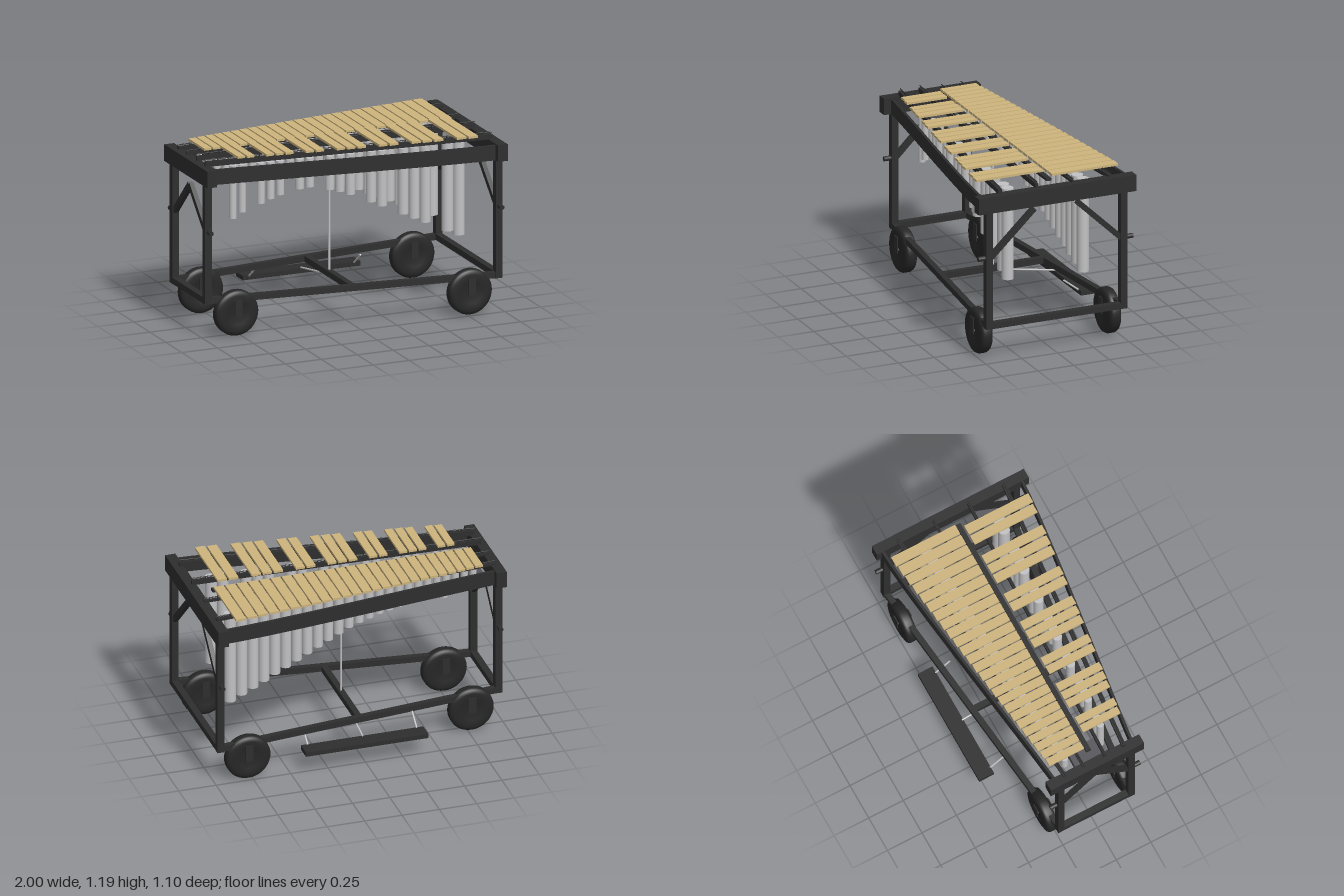
import * as THREE from 'three';

const material = (name, color) => {
  const m = new THREE.MeshStandardMaterial({ color });
  m.name = name;
  return m;
};
const lerp = THREE.MathUtils.lerp;

// piecewise linear lookup through [x, y] pairs
function sample(table, x) {
  for (let i = 1; i < table.length; i++) {
    const [x0, y0] = table[i - 1], [x1, y1] = table[i];
    if (x <= x1 || i === table.length - 1) return lerp(y0, y1, THREE.MathUtils.clamp((x - x0) / (x1 - x0), 0, 1));
  }
}

export function createModel() {
  const model = new THREE.Group();
  model.name = 'malletInstrument';
  const black = material('black frame', 0x2e2e2e);
  const tyre = material('dark rubber', 0x262626);
  const gold = material('gold bars', 0xcdb47c);
  const silver = material('silver metal', 0xc2c2c4);
  const grey = material('grey housing', 0x55555a);

  const add = (name, geometry, mat, x = 0, y = 0, z = 0, parent = model) => {
    const mesh = new THREE.Mesh(geometry, mat);
    mesh.name = name;
    mesh.position.set(x, y, z);
    parent.add(mesh);
    return mesh;
  };
  const box = (name, mat, x0, x1, y0, y1, z0, z1) =>
    add(name, new THREE.BoxGeometry(x1 - x0, y1 - y0, z1 - z0), mat, (x0 + x1) / 2, (y0 + y1) / 2, (z0 + z1) / 2);

  // straight beam or rod between two points
  const between = (name, geometry, mat, a, b) => {
    const p = new THREE.Vector3(...a), q = new THREE.Vector3(...b);
    const mesh = add(name, geometry(p.distanceTo(q)), mat);
    mesh.position.copy(p).lerp(q, 0.5);
    mesh.lookAt(q);
    return mesh;
  };
  const beam = (name, a, b, w, h, mat = black) => between(name, l => new THREE.BoxGeometry(w, h, l), mat, a, b);
  const rod = (name, a, b, r, mat = silver) =>
    between(name, l => new THREE.CylinderGeometry(r, r, l, 12).rotateX(Math.PI / 2), mat, a, b);

  // end frames: top beam, legs, foot beam, braces and pegs
  const ends = [
    { x: 0.965, half: 0.55, leg: 0.47, brace: [0.455, 0.705, 0.15, 0.995] },
    { x: -0.965, half: 0.338, leg: 0.255, brace: [0.24, 0.71, 0, 0.95] },
  ];
  for (const { x, half, leg, brace } of ends) {
    box('endBeam', black, x - 0.034, x + 0.034, 1.015, 1.125, -half, half);
    box('footBeam', black, x - 0.022, x + 0.022, 0.225, 0.265, -leg, leg);
    for (const s of [-1, 1]) {
      box('leg', black, x - 0.023, x + 0.023, 0.225, 1.02, s * leg - 0.023, s * leg + 0.023);
      const [z0, y0, z1, y1] = brace;
      beam('brace', [x, y0, s * z0], [x, y1, s * z1], 0.03, 0.036);
      rod('peg', [x, 0.705, s * leg], [x, 0.705, s * (leg + 0.07)], 0.016, black);
    }
  }
  box('motorHousing', grey, -0.915, -0.78, 0.957, 1.02, -0.106, 0.106);

  // bowed upper side rails
  const railLine = [[-0.96, 0.285], [-0.75, 0.31], [-0.4, 0.356], [0, 0.41], [0.4, 0.461], [0.65, 0.49], [0.85, 0.508], [0.96, 0.514]];
  for (const s of [-1, 1]) {
    const outline = [
      ...railLine.map(([x, z]) => new THREE.Vector2(x, s * z)),
      ...railLine.map(([x, z]) => new THREE.Vector2(x, s * (z - 0.018))).reverse(),
    ];
    const geo = new THREE.ExtrudeGeometry(new THREE.Shape(outline), { depth: 0.1, bevelEnabled: false });
    add('sideRail', geo.rotateX(Math.PI / 2), black, 0, 1.116, 0);
  }

  // lower rails and wheels beneath them
  const wheelProfile = [[0, -0.032], [0.065, -0.032], [0.072, -0.04], [0.12, -0.04], [0.142, -0.033], [0.15, -0.018],
    [0.15, 0.018], [0.142, 0.033], [0.12, 0.04], [0.072, 0.04], [0.065, 0.032], [0, 0.032]];
  const wheelGeo = new THREE.LatheGeometry(wheelProfile.map(p => new THREE.Vector2(...p)), 40).rotateX(Math.PI / 2);
  for (const s of [-1, 1]) {
    beam('lowerRail', [-0.965, 0.245, s * 0.255], [0.965, 0.245, s * 0.47], 0.038, 0.04);
    for (const [x, z] of [[-0.775, 0.276], [0.775, 0.449]]) {
      const caster = new THREE.Group();
      caster.name = 'caster';
      caster.position.set(x, 0.15, s * z);
      model.add(caster);
      add('wheel', wheelGeo, tyre, 0, 0, 0, caster);
      add('axle', new THREE.CylinderGeometry(0.012, 0.012, 0.1, 12).rotateX(Math.PI / 2), black, 0, 0, 0, caster);
      for (const t of [-1, 1]) add('forkPlate', new THREE.BoxGeometry(0.05, 0.11, 0.007), black, 0, 0.04, t * 0.049, caster);
    }
  }
  box('crossBeam', black, -0.02, 0.02, 0.225, 0.265, -0.36, 0.36);

  // pedal and its linkage
  box('pedal', black, -0.41, 0.41, 0.125, 0.155, -0.537, -0.43);
  rod('damperRod', [0, 0.25, 0], [0, 1.13, 0], 0.007);
  rod('pedalLink', [0, 0.222, -0.07], [0, 0.16, -0.44], 0.006);
  for (const x of [-0.365, 0.365]) rod('pedalArm', [x, 0.23, -0.33], [x, 0.145, -0.44], 0.006);
  box('damperBar', black, -0.88, 0.865, 1.122, 1.14, -0.017, 0.017);
  box('damperPivot', black, -0.018, 0.018, 1.12, 1.143, -0.02, 0.02);

  // bar supports: four converging rails with cord and posts
  const supports = [
    { z: [0.212, 0.385], s: 1, w: 0.026 }, { z: [0.076, 0.126], s: 1, w: 0.018 },
    { z: [0.212, 0.385], s: -1, w: 0.026 }, { z: [0.076, 0.126], s: -1, w: 0.018 },
  ];
  const postGeo = new THREE.CylinderGeometry(0.004, 0.004, 0.03, 6);
  for (const { z, s, w } of supports) {
    const top = s > 0 ? 1.155 : 1.138;
    const zAt = x => s * lerp(z[0], z[1], (x + 0.96) / 1.92);
    beam('supportRail', [-0.96, (top + 1.122) / 2, zAt(-0.96)], [0.96, (top + 1.122) / 2, zAt(0.96)], w, top - 1.122);
    rod('cord', [-0.96, top + 0.012, zAt(-0.96)], [0.96, top + 0.012, zAt(0.96)], 0.0035, black);
    for (let i = 0; i < 26; i++) {
      const x = lerp(-0.875, 0.868, i / 25);
      add('cordPost', postGeo, black, x, top, zAt(x));
    }
  }

  // bars and resonator tubes, from the low end at +x to the high end
  const naturalBottom = [[-0.87, 0.975], [-0.5, 0.945], [-0.2, 0.9], [0, 0.845], [0.1, 0.8], [0.3, 0.705], [0.48, 0.62], [0.62, 0.555], [0.84, 0.457]];
  const sharpBottom = [[-0.755, 0.73], [-0.7, 0.768], [-0.575, 0.813], [-0.45, 0.86], [-0.31, 0.89], [-0.2, 0.9], [0, 0.84],
    [0.1, 0.8], [0.3, 0.705], [0.48, 0.62], [0.62, 0.555], [0.78, 0.475]];
  const note = (name, x, width, t, s) => {
    const inner = 0.022, outer = lerp(0.485, s > 0 ? 0.275 : 0.272, t);
    const y = s > 0 ? 1.179 : 1.158;
    add(name, new THREE.BoxGeometry(width, 0.015, outer - inner), gold, x, y, s * (inner + outer) / 2);
    const r = lerp(0.039, 0.022, t);
    const bottom = sample(s > 0 ? sharpBottom : naturalBottom, x);
    add('resonatorTube', new THREE.CylinderGeometry(r, r, 1.09 - bottom, 20), silver, x, (1.09 + bottom) / 2, s * lerp(0.254, 0.15, t));
  };
  let edge = 0.866;
  for (let i = 0; i < 25; i++) {
    const t = i / 24, pitch = lerp(0.0775, 0.061, t);
    note('naturalBar', edge - pitch / 2, pitch - 0.01, t, -1);
    edge -= pitch;
    if (i < 24 && [0, 1, 3, 4, 5].includes(i % 7)) note('sharpBar', edge, pitch - 0.013, t, 1);
  }
  return model;
}
